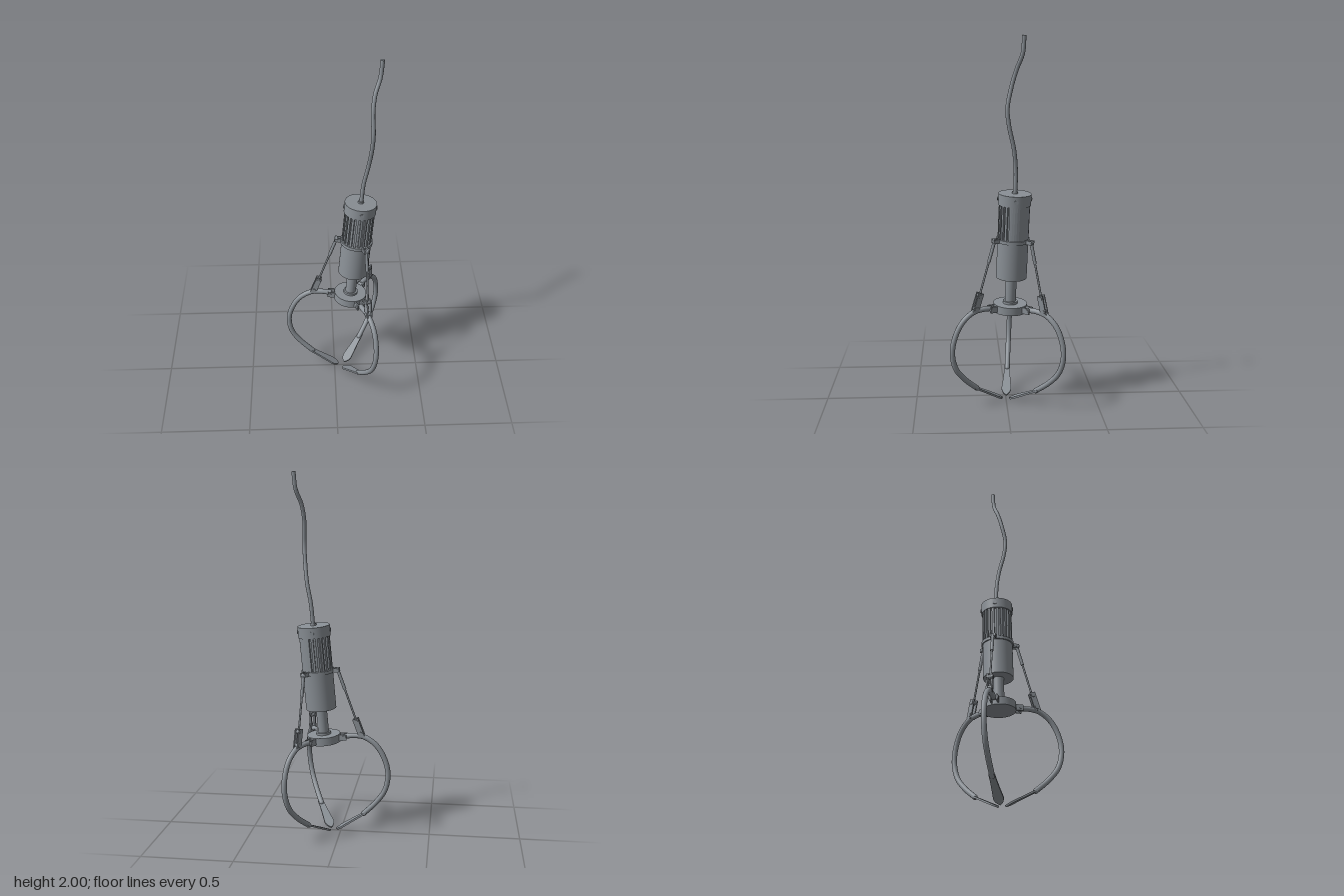
import * as THREE from 'three';

const V = (x, y, z = 0) => new THREE.Vector3(x, y, z);

export function createModel() {
  const model = new THREE.Group();
  model.name = 'grabberClaw';
  const metal = new THREE.MeshStandardMaterial({ color: 0x8a9096 });
  metal.name = 'grey metal';

  const add = (parent, name, geometry) => {
    const mesh = new THREE.Mesh(geometry, metal);
    mesh.name = name;
    parent.add(mesh);
    return mesh;
  };
  // Upright drum between two heights
  const drum = (parent, name, r, y0, y1) => {
    const m = add(parent, name, new THREE.CylinderGeometry(r, r, y1 - y0, 40));
    m.position.y = (y0 + y1) / 2;
    return m;
  };
  // Round bar between two points
  const bar = (parent, name, a, b, r) => {
    const d = b.clone().sub(a);
    const m = add(parent, name, new THREE.CylinderGeometry(r, r, d.length(), 14));
    m.position.copy(a).add(b).multiplyScalar(0.5);
    m.quaternion.setFromUnitVectors(V(0, 1), d.normalize());
    return m;
  };
  // Horizontal pin across an arm
  const pin = (parent, name, x, y, r, half) => bar(parent, name, V(x, y, -half), V(x, y, half), r);

  // Everything under the cable hangs along one tilted axis
  const claw = new THREE.Group();
  claw.name = 'clawAssembly';
  claw.position.x = 0.045;
  claw.quaternion.setFromUnitVectors(V(0, 1), V(0.083, 1, -0.036).normalize());
  model.add(claw);

  // Motor housing
  drum(claw, 'lowerHousing', 0.083, 0.725, 0.935);
  drum(claw, 'cap', 0.088, 1.13, 1.19);
  drum(claw, 'cableGland', 0.016, 1.19, 1.2);
  drum(claw, 'piston', 0.03, 0.57, 0.73);
  drum(claw, 'collar', 0.09, 0.928, 0.946);

  // Slotted upper housing: a round section with notches, solid on one side
  const section = new THREE.Shape();
  const polar = (deg, r) => [r * Math.cos(deg * Math.PI / 180), r * Math.sin(deg * Math.PI / 180)];
  section.moveTo(...polar(-15, 0.083));
  for (let d = -9; d <= 72; d += 9) section.lineTo(...polar(d, 0.083));
  for (let i = 0; i < 16; i++) {
    const d = 76 + i * 17;
    section.lineTo(...polar(d, 0.083));
    section.lineTo(...polar(d, 0.071));
    section.lineTo(...polar(d + 8, 0.071));
    section.lineTo(...polar(d + 8, 0.083));
    if (i < 15) section.lineTo(...polar(d + 12.5, 0.083));
  }
  const slotted = new THREE.ExtrudeGeometry(section, { depth: 0.2, bevelEnabled: false });
  slotted.rotateX(-Math.PI / 2);
  add(claw, 'slottedHousing', slotted).position.y = 0.932;

  // Cap screws
  for (let i = 0; i < 4; i++) {
    const a = Math.PI / 4 + 0.75 + i * Math.PI / 2;
    const dir = V(Math.cos(a), 0, Math.sin(a));
    bar(claw, 'capScrew', dir.clone().multiplyScalar(0.08).setY(1.16),
      dir.clone().multiplyScalar(0.092).setY(1.16), 0.011);
  }

  // Hub that carries the three fingers
  drum(claw, 'hub', 0.092, 0.533, 0.577);
  drum(claw, 'hubBoss', 0.04, 0.57, 0.59);

  // Flat pointed fingertip, widening before the point
  const tip = new THREE.Shape();
  tip.moveTo(-0.015, -0.015);
  tip.lineTo(0.03, -0.017);
  tip.quadraticCurveTo(0.1, -0.022, 0.145, -0.027);
  tip.quadraticCurveTo(0.175, -0.026, 0.193, 0);
  tip.quadraticCurveTo(0.175, 0.026, 0.145, 0.027);
  tip.quadraticCurveTo(0.1, 0.022, 0.03, 0.017);
  tip.lineTo(-0.015, 0.015);
  const tipGeometry = new THREE.ExtrudeGeometry(tip, { depth: 0.01, bevelEnabled: false });
  tipGeometry.translate(0, 0, -0.005);
  tipGeometry.rotateX(Math.PI / 2);
  tipGeometry.rotateZ(Math.atan2(-0.093, -0.168));

  const fingerPath = new THREE.CatmullRomCurve3([
    V(0.12, 0.56), V(0.17, 0.562), V(0.227, 0.552), V(0.292, 0.5), V(0.334, 0.41),
    V(0.342, 0.325), V(0.318, 0.24), V(0.265, 0.172), V(0.187, 0.103),
  ]);
  const fingerGeometry = new THREE.TubeGeometry(fingerPath, 48, 0.0145, 14);

  for (const degrees of [64, -56, -176]) {
    const finger = new THREE.Group();
    finger.name = 'finger';
    finger.rotation.y = -degrees * Math.PI / 180;
    claw.add(finger);

    // Curved finger, its end and its tip
    add(finger, 'fingerArm', fingerGeometry);
    const end = add(finger, 'fingerEnd', new THREE.SphereGeometry(0.0145, 14, 10));
    end.position.set(0.187, 0.103, 0);
    add(finger, 'fingerTip', tipGeometry).position.set(0.19, 0.104, 0);

    // Hinge at the hub
    for (const side of [-1, 1]) {
      const lug = add(finger, 'hubLug', new THREE.BoxGeometry(0.05, 0.034, 0.008));
      lug.position.set(0.105, 0.557, side * 0.018);
    }
    pin(finger, 'hubPin', 0.118, 0.558, 0.011, 0.026);

    // Clevis joining the finger to its pull rod
    const foot = V(0.216, 0.556), head = V(0.187, 0.658);
    for (const side of [-1, 1]) {
      const plate = add(finger, 'clevisPlate', new THREE.BoxGeometry(0.032, 0.108, 0.007));
      plate.position.copy(foot).add(head).multiplyScalar(0.5);
      plate.position.z = side * 0.012;
      plate.rotation.z = Math.atan2(foot.x - head.x, head.y - foot.y);
    }
    pin(finger, 'clevisLowerPin', 0.211, 0.573, 0.012, 0.019);
    pin(finger, 'clevisUpperPin', 0.191, 0.643, 0.012, 0.019);

    // Pull rod, its sleeve and the lug on the collar
    const top = V(0.112, 0.938);
    bar(finger, 'pullRod', top, V(0.191, 0.643), 0.0055);
    bar(finger, 'rodSleeve', top, top.clone().lerp(head, 0.4), 0.009);
    for (const side of [-1, 1]) {
      const lug = add(finger, 'collarLug', new THREE.BoxGeometry(0.04, 0.022, 0.006));
      lug.position.set(0.102, 0.938, side * 0.012);
    }
    pin(finger, 'collarPin', 0.112, 0.938, 0.01, 0.018);
  }

  // Hanging cable
  const cablePath = new THREE.CatmullRomCurve3([
    V(0.144, 1.17, -0.043), V(0.156, 1.3, -0.046), V(0.179, 1.42, -0.035), V(0.193, 1.54, -0.009),
    V(0.197, 1.63, 0), V(0.193, 1.74, -0.02), V(0.203, 1.83, -0.046), V(0.229, 1.91, -0.075),
    V(0.238, 2, -0.082),
  ]);
  add(model, 'cable', new THREE.TubeGeometry(cablePath, 70, 0.011, 12));
  const cableEnd = add(model, 'cableEnd', new THREE.CircleGeometry(0.011, 12));
  cableEnd.position.copy(cablePath.getPoint(1));
  cableEnd.quaternion.setFromUnitVectors(V(0, 0, 1), cablePath.getTangent(1));

  return model;
}
